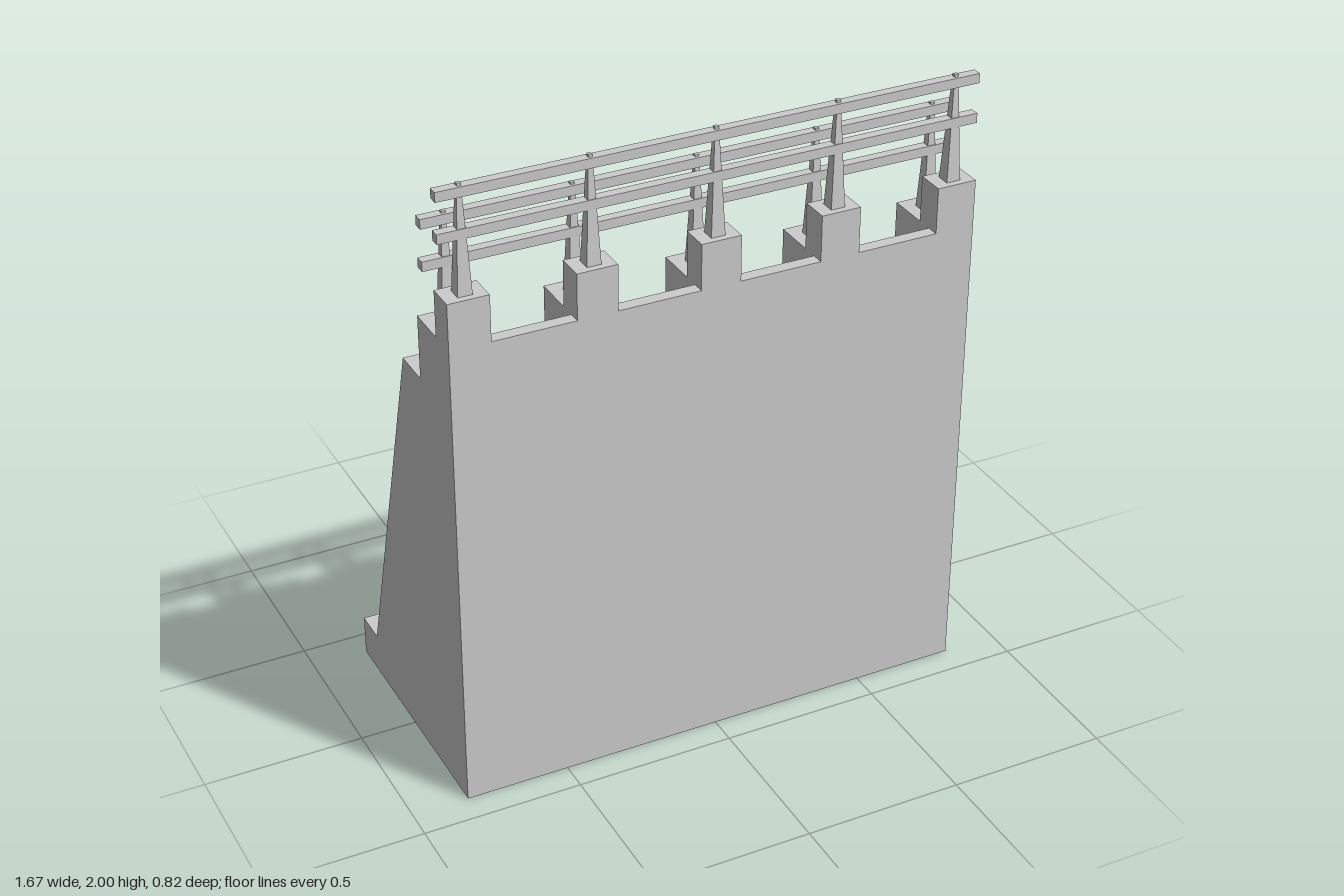
import * as THREE from 'three';

const material = new THREE.MeshStandardMaterial({ color: 0xcccccc, flatShading: true });

const SPACING = 0.381; // distance between buttress centres
const WIDTH = 0.125; // buttress width
const CENTRES = [-2, -1, 0, 1, 2].map((i) => i * SPACING);

function add(parent, name, geometry, x, y, z) {
  const mesh = new THREE.Mesh(geometry, material);
  mesh.name = name;
  mesh.position.set(x, y, z);
  parent.add(mesh);
  return mesh;
}

// Extrude a [z, y] profile along x, centred on x = 0
function slab(profile, width) {
  const shape = new THREE.Shape(profile.map(([z, y]) => new THREE.Vector2(z, y)));
  const geometry = new THREE.ExtrudeGeometry(shape, { depth: width, bevelEnabled: false });
  geometry.translate(0, 0, -width / 2);
  geometry.rotateY(-Math.PI / 2);
  return geometry;
}

// Stepped buttress: front merlon, rear step, walkway, sloped back and foot
const buttressProfile = [
  [0.41, 0], [0.41, 1.67], [0.32, 1.67], [0.32, 1.525], [0.188, 1.525],
  [0.188, 1.325], [0.06, 1.325], [-0.3, 0.13], [-0.41, 0.13], [-0.41, 0],
];

// Wall between buttresses: thin parapet, walkway and recessed sloped back
const wallProfile = [
  [0.41, 0], [0.41, 1.525], [0.37, 1.525], [0.37, 1.325], [0.08, 1.325], [-0.236, 0],
];

// One railing: tapered square posts carrying two long rails
function createRailing(name, z, base, top, railHeights) {
  const railing = new THREE.Group();
  railing.name = name;
  const height = top - base;
  const post = new THREE.CylinderGeometry(0.006 * Math.SQRT2, 0.022 * Math.SQRT2, height, 4);
  post.rotateY(Math.PI / 4);
  const rail = new THREE.BoxGeometry(1.668, 0.03, 0.03);
  for (const x of CENTRES) add(railing, 'railingPost', post, x, base + height / 2, z);
  for (const y of railHeights) add(railing, 'rail', rail, 0, y, z);
  return railing;
}

export function createModel() {
  const model = new THREE.Group();
  model.name = 'buttressedWall';

  const buttress = slab(buttressProfile, WIDTH);
  const panel = slab(wallProfile, SPACING - WIDTH);
  CENTRES.forEach((x, i) => {
    add(model, 'buttress', buttress, x, 0, 0);
    if (i < CENTRES.length - 1) add(model, 'wallPanel', panel, x + SPACING / 2, 0, 0);
  });

  model.add(createRailing('frontRailing', 0.367, 1.67, 2.0, [1.977, 1.853]));
  model.add(createRailing('rearRailing', 0.251, 1.525, 1.865, [1.844, 1.716]));
  return model;
}
